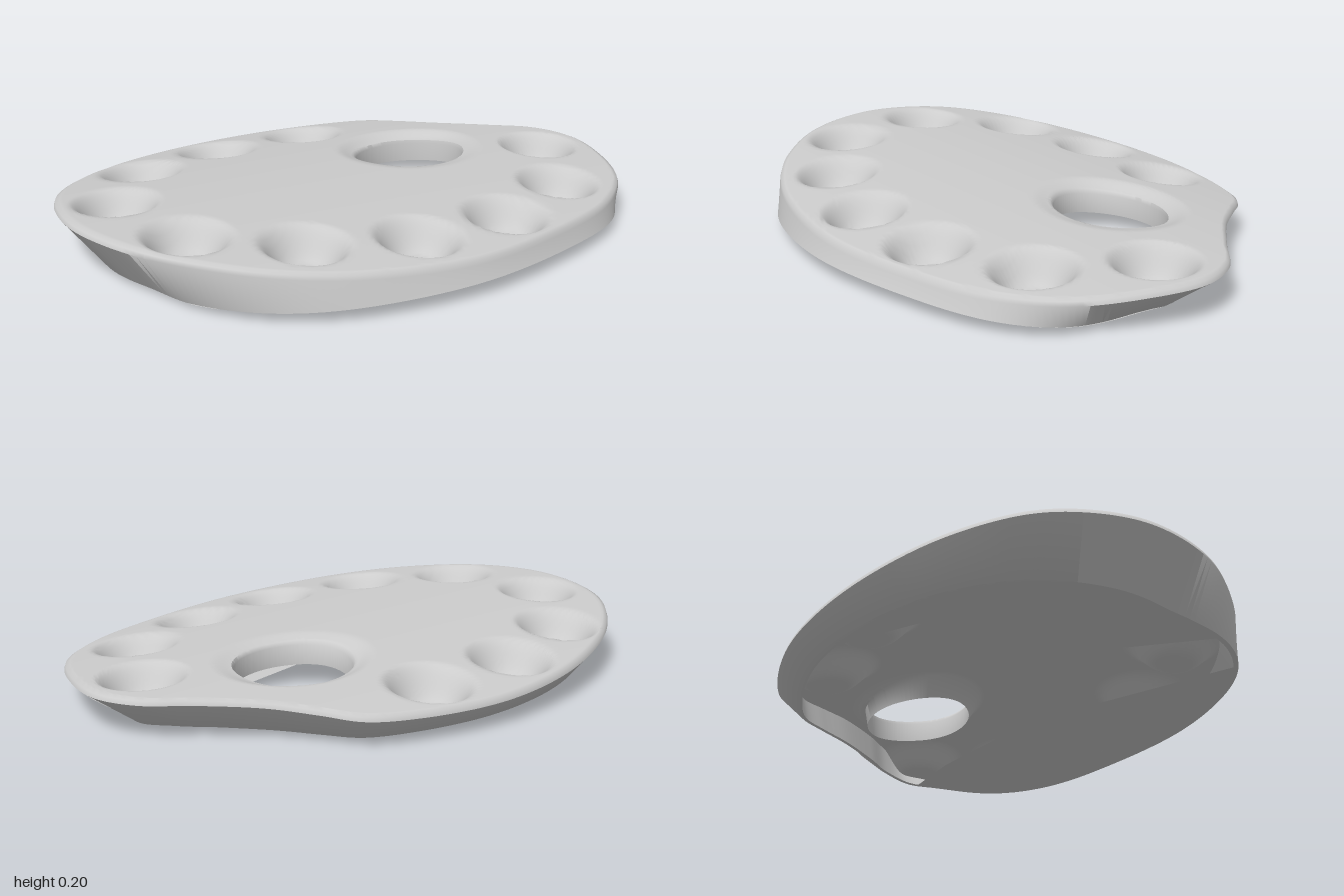
import * as THREE from 'three';
import { toCreasedNormals } from 'three/addons/utils/BufferGeometryUtils.js';

const step = THREE.MathUtils.smoothstep;
const lerp = THREE.MathUtils.lerp;

// Outer outline as [x, z]: left end, back, thumb notch, right end, front
const OUTLINE = [
  [-1, -0.04], [-0.975, -0.25], [-0.9, -0.41], [-0.71, -0.575], [-0.45, -0.69], [-0.185, -0.745],
  [0.08, -0.745], [0.35, -0.68], [0.51, -0.6], [0.59, -0.49], [0.68, -0.36], [0.83, -0.2],
  [0.95, -0.08], [1, 0.07], [0.955, 0.27], [0.85, 0.46], [0.65, 0.62], [0.35, 0.71],
  [0, 0.75], [-0.29, 0.71], [-0.525, 0.62], [-0.755, 0.44], [-0.925, 0.22],
];
const WELLS = [
  [-0.79, -0.195], [-0.55, -0.475], [-0.19, -0.565], [0.18, -0.55], [0.805, 0.09],
  [0.61, 0.4], [0.255, 0.525], [-0.11, 0.525], [-0.46, 0.41], [-0.745, 0.185],
];
const HOLE = { x: 0.37, z: -0.13, rx: 0.203, rz: 0.178 };
const curve = new THREE.CatmullRomCurve3(OUTLINE.map(([x, z]) => new THREE.Vector3(x, 0, z)), true);

// Arched, tilted face of the board, worn down around the thumb hole
function topY(x, z) {
  const r = Math.hypot((x - HOLE.x) / HOLE.rx, (z - HOLE.z) / HOLE.rz);
  const worn = (1 - step(r, 0.95, 1.4)) * (0.015 + 0.015 * step(HOLE.z - z, -0.1, 0.15));
  return 0.176 - 0.032 * x - 0.006 * x * x - (z < 0 ? 0.125 : 0.1) * z * z - worn;
}

// Depth of the round paint wells at a point, with soft lips
function wellDepth(x, z, radius, depth) {
  let d = 0;
  for (const [cx, cz] of WELLS) {
    const r = Math.hypot(x - cx, z - cz) / radius;
    d = Math.max(d, depth * (1 - step(r, 0.35, 1) * 0.9 - 0.1 * Math.min(1, r * r)));
  }
  return d;
}

// Height of the sloping cover under the front half
const slopeY = (z) => Math.max(0, 0.05 * (z - 0.1) / 0.65);

// Lower edge of the side wall: tucked in at the back and ends, flared at the front
function lowerEdge(p) {
  const inset = 0.1 + 0.06 * step(p.x, 0.5, 1) + 0.025 * step(-p.x, 0.5, 1);
  const s = 1 - inset * (1 - step(p.z, 0.1, 0.62));
  const base = 0.015 * (1 - step(p.x, 0.3, 0.8) * step(p.z, -0.1, 0.1));
  return new THREE.Vector3(p.x * s, Math.max(base, slopeY(p.z)), p.z * s);
}

// One closed cross-section from the thumb hole out to the rim and back underneath
function section(t) {
  const p = curve.getPoint(t);
  const a = Math.atan2(p.z - HOLE.z, p.x - HOLE.x);
  const hx = HOLE.x + HOLE.rx * Math.cos(a), hz = HOLE.z + HOLE.rz * Math.sin(a);
  const edge = topY(p.x, p.z);
  const pts = [];
  const add = (x, y, z) => pts.push([x, y, z]);

  add(hx, topY(hx, hz) - 0.08, hz);
  add(hx, topY(hx, hz) - 0.012, hz);
  // Top face with wells
  const sMid = 1 - 0.03 * step(p.z, 0.45, 0.74);
  const sTop = sMid - 0.02;
  for (let i = 0; i <= 90; i++) {
    const u = lerp(0.012, 1, i / 90);
    const x = lerp(hx, p.x * sTop, u), z = lerp(hz, p.z * sTop, u);
    add(x, topY(x, z) - wellDepth(x, z, 0.153, 0.1), z);
  }
  // Rounded rim and side wall
  add(p.x * (sMid - 0.005), edge - 0.006, p.z * (sMid - 0.005));
  add(p.x * sMid, edge - 0.02, p.z * sMid);
  const low = lowerEdge(p);
  add(low.x, low.y, low.z);
  add(low.x * 0.98, low.y, low.z * 0.98);
  // Hollow underside with the bulges of the wells
  const sIn = Math.min(0.93, low.length() / p.length());
  for (let i = 0; i <= 45; i++) {
    const u = lerp(1, 0.05, i / 45);
    const x = lerp(hx, p.x * sIn, u), z = lerp(hz, p.z * sIn, u);
    const y = topY(x, z) - 0.032 - wellDepth(x, z, 0.17, 0.078);
    add(x, Math.max(y, 0.018, slopeY(z) + 0.004), z);
  }
  return pts;
}

function boardGeometry(columns) {
  const position = [], index = [];
  let rows = 0;
  for (let c = 0; c < columns; c++) {
    const pts = section(c / columns);
    rows = pts.length;
    for (const q of pts) position.push(...q);
  }
  for (let c = 0; c < columns; c++) {
    const n = (c + 1) % columns;
    for (let r = 0; r < rows; r++) {
      const k = (r + 1) % rows;
      const a = c * rows + r, b = n * rows + r, d = c * rows + k, e = n * rows + k;
      index.push(a, b, d, b, e, d);
    }
  }
  const geo = new THREE.BufferGeometry();
  geo.setAttribute('position', new THREE.Float32BufferAttribute(position, 3));
  geo.setIndex(index);
  return toCreasedNormals(geo, 0.9);
}

// Thin cover that follows the lower edge between two outline positions, closed by inner corners
function coverGeometry(from, to, inner, height) {
  const contour = [];
  for (let i = 0; i <= 40; i++) {
    const t = lerp(from, to, i / 40) / OUTLINE.length;
    const q = lowerEdge(curve.getPoint(t % 1));
    contour.push(new THREE.Vector2(q.x, q.z));
  }
  for (const [x, z] of inner) contour.push(new THREE.Vector2(x, z));
  const geo = new THREE.ShapeGeometry(new THREE.Shape(contour));
  const pos = geo.attributes.position;
  for (let i = 0; i < pos.count; i++) {
    const x = pos.getX(i), z = pos.getY(i);
    pos.setXYZ(i, x, height(z), z);
  }
  geo.computeVertexNormals();
  return geo;
}

export function createModel() {
  const group = new THREE.Group();
  group.name = 'paintPalette';
  const material = new THREE.MeshStandardMaterial({ color: 0xcccccc, side: THREE.DoubleSide });
  const add = (name, geo) => {
    const mesh = new THREE.Mesh(geo, material);
    mesh.name = name;
    group.add(mesh);
  };

  add('board', boardGeometry(240));
  // Partial covers under the front and the left end
  add('frontUndersideCover', coverGeometry(13.2, 20.3, [[0.07, 0.17], [0.58, 0.09]], slopeY));
  add('leftUndersideCover', coverGeometry(21.2, 28.2,
    [[-0.4, -0.5], [-0.5, -0.3], [-0.48, -0.1], [-0.57, 0.15]], (z) => Math.max(0.015, slopeY(z))));
  return group;
}
